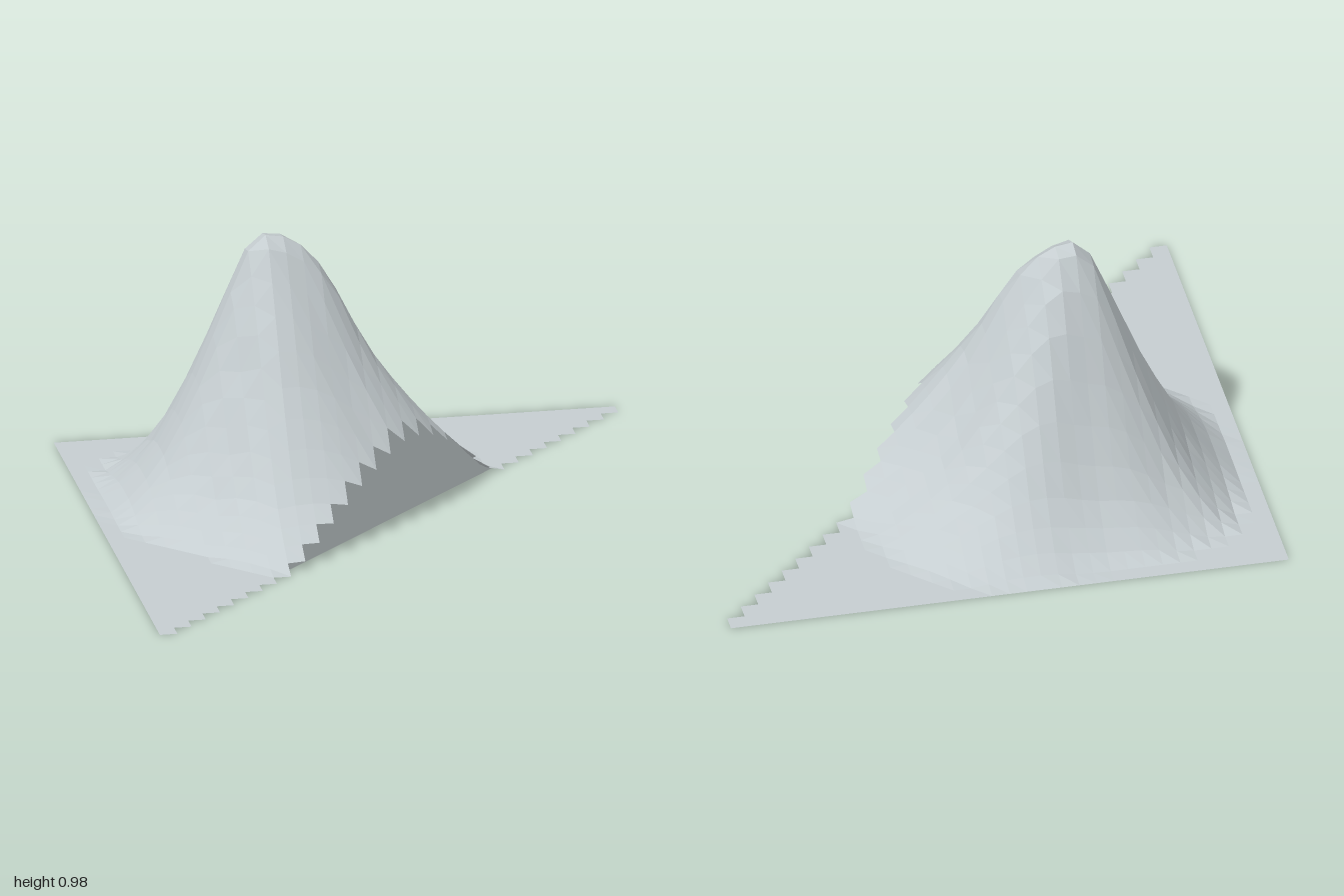
import * as THREE from 'three';

const N = 32, STEP = 2 / N;
const PEAK = { x: -0.37, z: -0.335 };

// foot distance from the peak by compass angle in degrees (0 = +x, 90 = +z)
const FOOT = [
  [-180, 0.57], [-157, 0.59], [-135, 0.64], [-128, 0.62], [-93, 0.59], [-79, 0.62], [-52, 0.77],
  [-34, 0.81], [-13, 0.81], [-8, 0.83], [2, 0.94], [7, 0.97], [22, 0.98], [42, 0.93], [52, 0.88],
  [72, 0.86], [96, 0.83], [122, 0.64], [147, 0.61], [180, 0.57],
];
// slope height from the peak (0) to the foot (1)
const SLOPE = [
  [0, 0.99], [0.1, 0.95], [0.2, 0.81], [0.3, 0.67], [0.4, 0.52], [0.5, 0.39],
  [0.6, 0.27], [0.7, 0.17], [0.8, 0.1], [0.9, 0.04], [1, 0],
];

function lookup(table, v) {
  for (let i = 1; i < table.length; i++) {
    const [a, ya] = table[i - 1], [b, yb] = table[i];
    if (v <= b) return ya + (yb - ya) * (v - a) / (b - a);
  }
  return table[table.length - 1][1];
}

const bump = (x, z, cx, cz, amount, width) =>
  amount * Math.exp(-((x - cx) ** 2 + (z - cz) ** 2) / (width * width));

function height(x, z) {
  const dx = x - PEAK.x, dz = z - PEAK.z;
  const t = Math.hypot(dx, dz) / lookup(FOOT, THREE.MathUtils.radToDeg(Math.atan2(dz, dx)));
  if (t >= 1) return 0;
  // shoulder beside the summit and the hollow below it
  const extra = bump(x, z, -0.17, -0.28, 0.05, 0.09) + bump(x, z, 0.06, -0.4, -0.04, 0.12);
  return Math.max(0, lookup(SLOPE, t) + extra);
}

function makeMesh(name, positions, material) {
  const geometry = new THREE.BufferGeometry();
  geometry.setAttribute('position', new THREE.Float32BufferAttribute(positions, 3));
  geometry.computeVertexNormals();
  const mesh = new THREE.Mesh(geometry, material);
  mesh.name = name;
  return mesh;
}

export function createModel() {
  const group = new THREE.Group();
  group.name = 'mountainTerrain';
  const stone = new THREE.MeshStandardMaterial({ color: 0xc5cdd0, side: THREE.DoubleSide, flatShading: true });
  stone.name = 'paleStone';

  const at = (i, j) => {
    const x = -1 + i * STEP, z = -1 + j * STEP;
    return [x, height(x, z), z];
  };

  // terrain: square cells up to the stepped diagonal edge
  const top = [];
  for (let j = 0; j < N; j++) {
    for (let i = 0; i + j < N; i++) {
      const a = at(i, j), b = at(i, j + 1), c = at(i + 1, j + 1), d = at(i + 1, j);
      top.push(...a, ...b, ...c, ...a, ...c, ...d);
    }
  }
  group.add(makeMesh('terrain', top, stone));

  // flat underside
  group.add(makeMesh('underside', [-1, 0, -1, 1, 0, -1, -1, 0, 1], stone));

  // upright cut along the diagonal, its top edge meeting the terrain
  const wall = [];
  const addStrip = (p, q) => {
    if (p[1] + q[1] === 0) return;
    const p0 = [p[0], 0, p[2]], q0 = [q[0], 0, q[2]];
    wall.push(...p0, ...q0, ...q, ...p0, ...q, ...p);
  };
  for (let i = 0; i < N; i++) {
    const left = at(i, N - i), right = at(i + 1, N - i - 1);
    const inner = at(i, N - i - 1), outer = at(i + 1, N - i);
    const middle = inner.map((v, k) => (v + outer[k]) / 2);
    addStrip(left, middle);
    addStrip(middle, right);
  }
  group.add(makeMesh('cutWall', wall, stone));
  return group;
}
